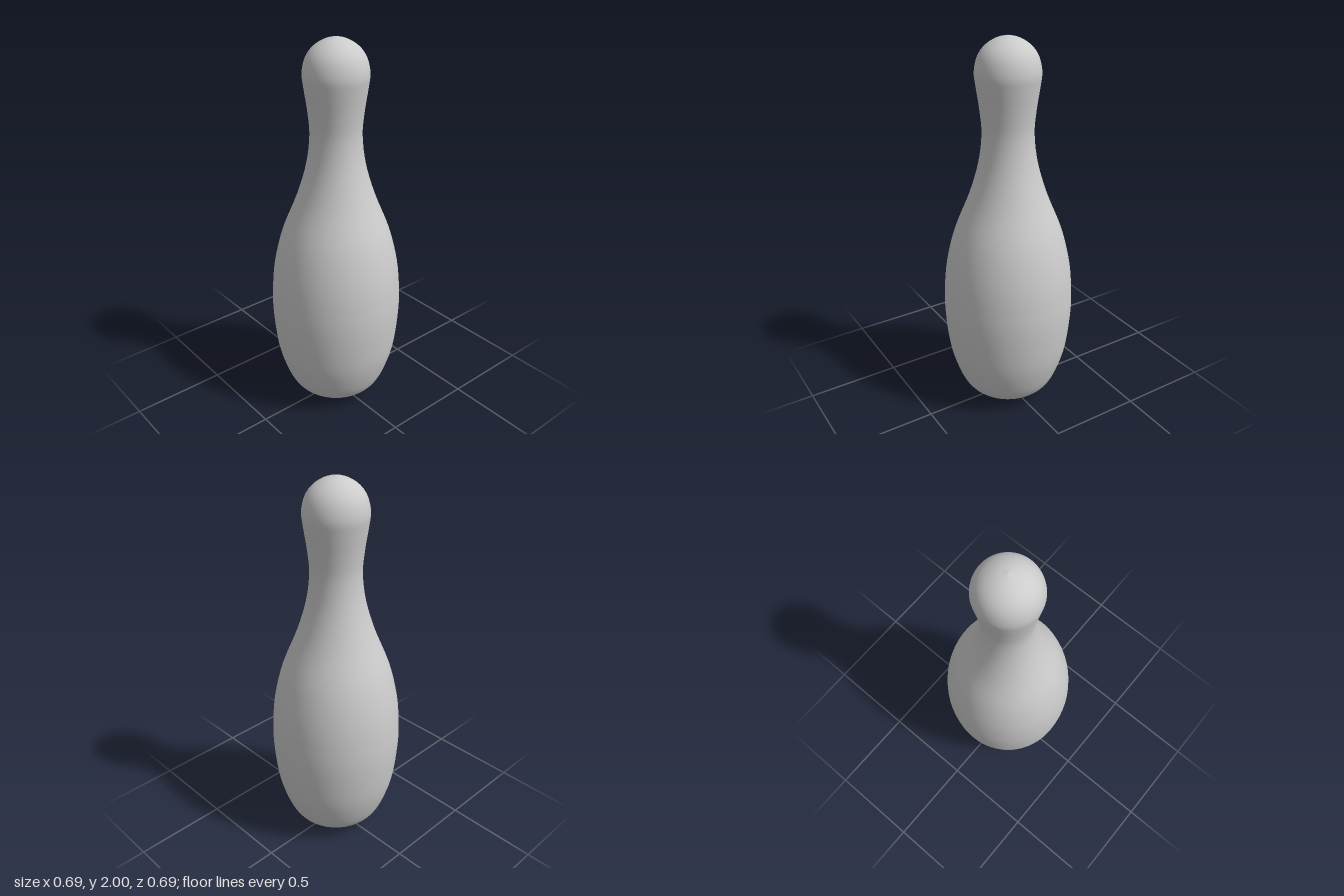
import * as THREE from 'three';

export function createModel() {
  const group = new THREE.Group();
  const material = new THREE.MeshStandardMaterial({ color: 0xcccccc });

  // Half outline from the shallow pointed base up to the domed head: [radius, height]
  const outline = [
    [0, 0], [0.1, 0.02], [0.2, 0.05], [0.255, 0.11], [0.298, 0.22], [0.326, 0.34],
    [0.343, 0.52], [0.342, 0.66], [0.325, 0.82], [0.28, 1.0], [0.2, 1.2],
    [0.15, 1.37], [0.131, 1.52], [0.139, 1.64], [0.156, 1.76], [0.163, 1.83],
    [0.147, 1.9], [0.112, 1.95], [0.058, 1.985], [0, 2],
  ].map(([r, y]) => new THREE.Vector2(r, y));

  // Smooth the outline, keeping both poles exactly on the axis
  const profile = new THREE.SplineCurve(outline).getPoints(76);
  profile.forEach((p) => { p.x = Math.max(0, p.x); });
  profile[0].set(0, 0);
  profile[profile.length - 1].set(0, 2);

  const pin = new THREE.Mesh(new THREE.LatheGeometry(profile, 64), material);
  pin.name = 'pinBody';
  group.add(pin);
  return group;
}
